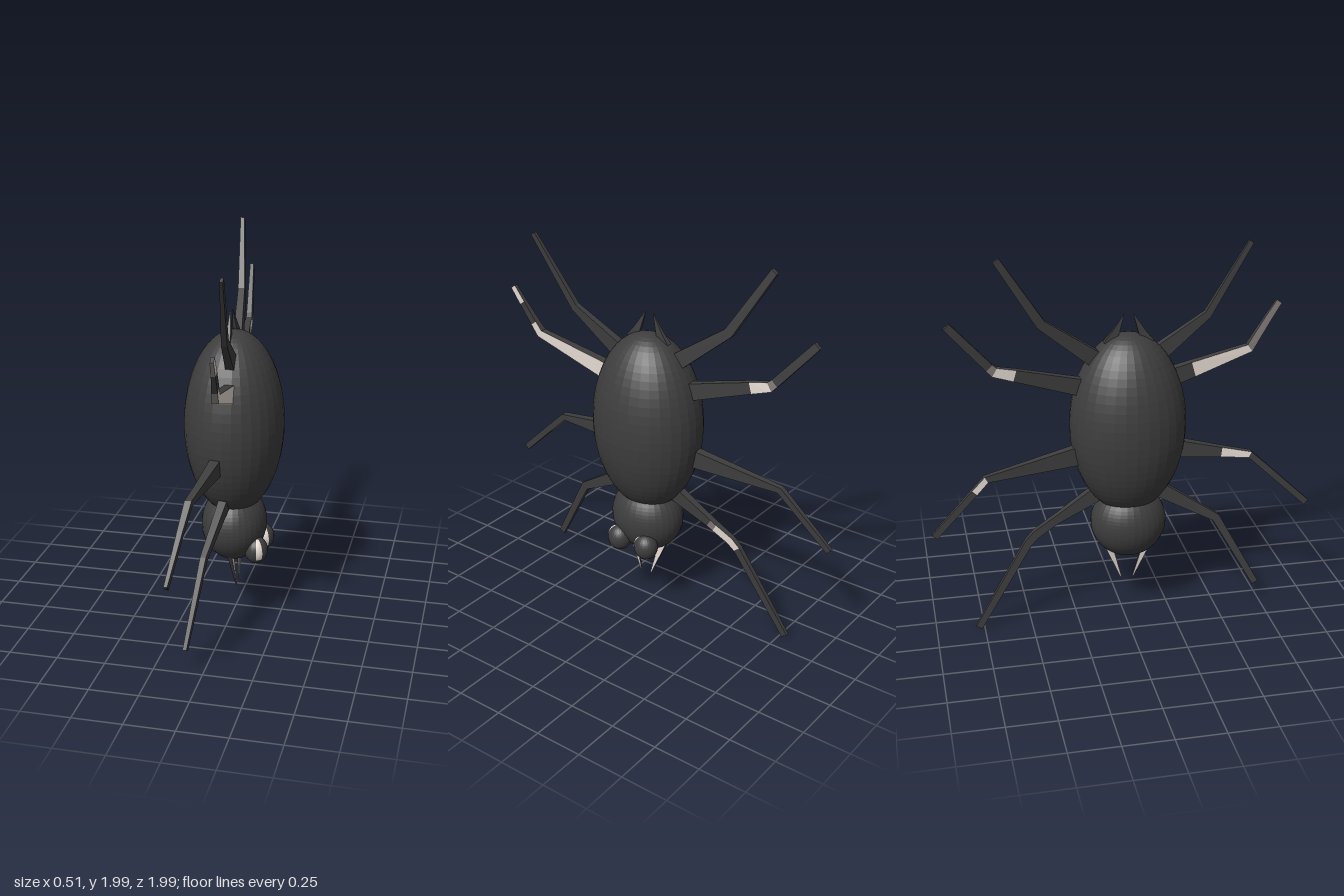
import * as THREE from 'three';

const dark = new THREE.MeshStandardMaterial({ color: 0x3e3e3e });
dark.name = 'charcoal';
const pale = new THREE.MeshStandardMaterial({ color: 0xe8ddd5 });
pale.name = 'pale beige';
const grey = new THREE.MeshStandardMaterial({ color: 0x807a76 });
grey.name = 'warm grey';

// Four-sided limb through points [x, y, z, width, height].
// One code per segment: sides +x, +u, -x, -u as D (dark), L (pale) or G (grey);
// +u is the upper side on front (+z) limbs and the lower side on rear ones.
function limb(name, pts, codes) {
  const X = new THREE.Vector3(1, 0, 0);
  const P = pts.map(p => new THREE.Vector3(p[0], p[1], p[2]));
  const rings = pts.map((p, i) => {
    const d = new THREE.Vector3();
    if (i > 0) d.add(P[i].clone().sub(P[i - 1]).normalize());
    if (i < P.length - 1) d.add(P[i + 1].clone().sub(P[i]).normalize());
    d.x = 0;
    const u = d.normalize().cross(X);
    return [[1, -1], [1, 1], [-1, 1], [-1, -1]].map(([a, b]) =>
      P[i].clone().addScaledVector(X, a * p[3] / 2).addScaledVector(u, b * p[4] / 2));
  });
  const pos = [];
  const geo = new THREE.BufferGeometry();
  const quad = (a, b, c, d, m) => {
    geo.addGroup(pos.length / 3, 6, m);
    for (const v of [a, b, c, a, c, d]) pos.push(v.x, v.y, v.z);
  };
  for (let s = 0; s < rings.length - 1; s++) {
    const A = rings[s], B = rings[s + 1];
    for (let i = 0; i < 4; i++) {
      const j = (i + 1) % 4;
      quad(A[i], A[j], B[j], B[i], 'DLG'.indexOf(codes[s][i]));
    }
  }
  const [a, b] = [rings[0], rings[rings.length - 1]];
  quad(a[3], a[2], a[1], a[0], 0);
  quad(b[0], b[1], b[2], b[3], 0);
  geo.setAttribute('position', new THREE.Float32BufferAttribute(pos, 3));
  geo.computeVertexNormals();
  const mesh = new THREE.Mesh(geo, [dark, pale, grey]);
  mesh.name = name;
  return mesh;
}

// Faceted ellipsoid
function ellipsoid(name, r, c, seg) {
  const geo = new THREE.SphereGeometry(1, seg, seg).scale(...r).toNonIndexed();
  geo.computeVertexNormals();
  const mesh = new THREE.Mesh(geo, dark);
  mesh.name = name;
  mesh.position.set(...c);
  return mesh;
}

export function createModel() {
  const g = new THREE.Group();
  g.name = 'spider';

  g.add(ellipsoid('abdomen', [0.255, 0.487, 0.302], [0, 1.068, 0.037], 32));
  g.add(ellipsoid('head', [0.17, 0.198, 0.2], [0, 0.518, 0.04], 32));

  // Eyes with a pale glint strip on the front outer side
  for (const z of [0.125, -0.048]) {
    const eye = ellipsoid('eye', [0.061, 0.071, 0.065], [0.135, 0.405, z], 24);
    const strip = new THREE.SphereGeometry(1, 6, 12, 1.77, 0.55, 0.36, 1.7).scale(0.0625, 0.0725, 0.0665);
    const glint = new THREE.Mesh(strip, pale);
    glint.name = 'eyeGlint';
    eye.add(glint);
    g.add(eye);
  }

  // Legs, front (+z) then rear (-z)
  const D = 'DDDD', S = 'LDLD';
  g.add(limb('upperFrontLeg', [
    [0.02, 1.43, 0.2, 0.045, 0.085], [0.05, 1.61, 0.46, 0.03, 0.04], [0.09, 1.965, 0.69, 0.016, 0.028]],
  [D, D]));
  g.add(limb('midUpperFrontLeg', [
    [0.025, 1.29, 0.25, 0.05, 0.095], [0.036, 1.328, 0.385, 0.045, 0.08], [0.06, 1.413, 0.69, 0.035, 0.045],
    [0.067, 1.465, 0.725, 0.03, 0.04], [0.078, 1.565, 0.793, 0.022, 0.036], [0.084, 1.645, 0.848, 0.018, 0.032]],
  ['LDDD', S, 'LDGG', 'DDGD', 'LDGG']));
  g.add(limb('midLowerFrontLeg', [
    [-0.03, 0.925, 0.28, 0.055, 0.095], [-0.06, 0.895, 0.52, 0.04, 0.053],
    [-0.08, 0.875, 0.67, 0.035, 0.035], [-0.091, 0.77, 0.783, 0.028, 0.035], [-0.108, 0.58, 0.985, 0.018, 0.035]],
  [D, 'DDLD', 'DDDL', D]));
  g.add(limb('lowerFrontLeg', [
    [-0.015, 0.69, 0.2, 0.045, 0.08], [-0.05, 0.51, 0.505, 0.03, 0.045], [-0.092, 0.115, 0.725, 0.02, 0.035]],
  [D, D]));
  g.add(limb('upperRearLeg', [
    [-0.02, 1.44, -0.14, 0.045, 0.085], [-0.06, 1.645, -0.41, 0.035, 0.05], [-0.102, 1.985, -0.622, 0.02, 0.036]],
  [D, D]));
  g.add(limb('midUpperRearLeg', [
    [-0.02, 1.29, -0.2, 0.045, 0.09], [-0.06, 1.392, -0.545, 0.035, 0.06],
    [-0.07, 1.42, -0.645, 0.032, 0.05], [-0.073, 1.445, -0.67, 0.03, 0.045], [-0.102, 1.675, -0.87, 0.02, 0.04]],
  [D, S, 'GDGD', D]));
  g.add(limb('midLowerRearLeg', [
    [-0.03, 0.925, -0.23, 0.05, 0.1], [-0.1, 0.863, -0.71, 0.03, 0.035],
    [-0.109, 0.8, -0.772, 0.027, 0.035], [-0.138, 0.585, -0.985, 0.018, 0.035]],
  [D, 'DDLD', D]));
  g.add(limb('lowerRearLeg', [
    [-0.015, 0.69, -0.14, 0.045, 0.08], [-0.035, 0.578, -0.34, 0.035, 0.046], [-0.038, 0.559, -0.373, 0.034, 0.045],
    [-0.05, 0.505, -0.46, 0.03, 0.045], [-0.055, 0.465, -0.5, 0.028, 0.042], [-0.1, 0.015, -0.78, 0.02, 0.036]],
  [D, 'GDDD', 'LDDD', 'LDDD', D]));

  // Fangs and spinnerets, mirrored about the body's centre plane
  for (const s of [1, -1]) {
    const z = o => 0.038 + s * o;
    g.add(limb('fang', [
      [0, 0.38, z(0.11), 0.025, 0.035], [0.005, 0.33, z(0.09), 0.02, 0.033], [0.018, 0.165, z(0.033), 0.006, 0.006]],
    [S, S]));
    g.add(limb('spinneret', [
      [-0.01, 1.5, z(0.105), 0.03, 0.055], [-0.01, 1.555, z(0.07), 0.02, 0.04], [-0.015, 1.655, z(0.025), 0.004, 0.004]],
    [D, D]));
  }
  return g;
}
